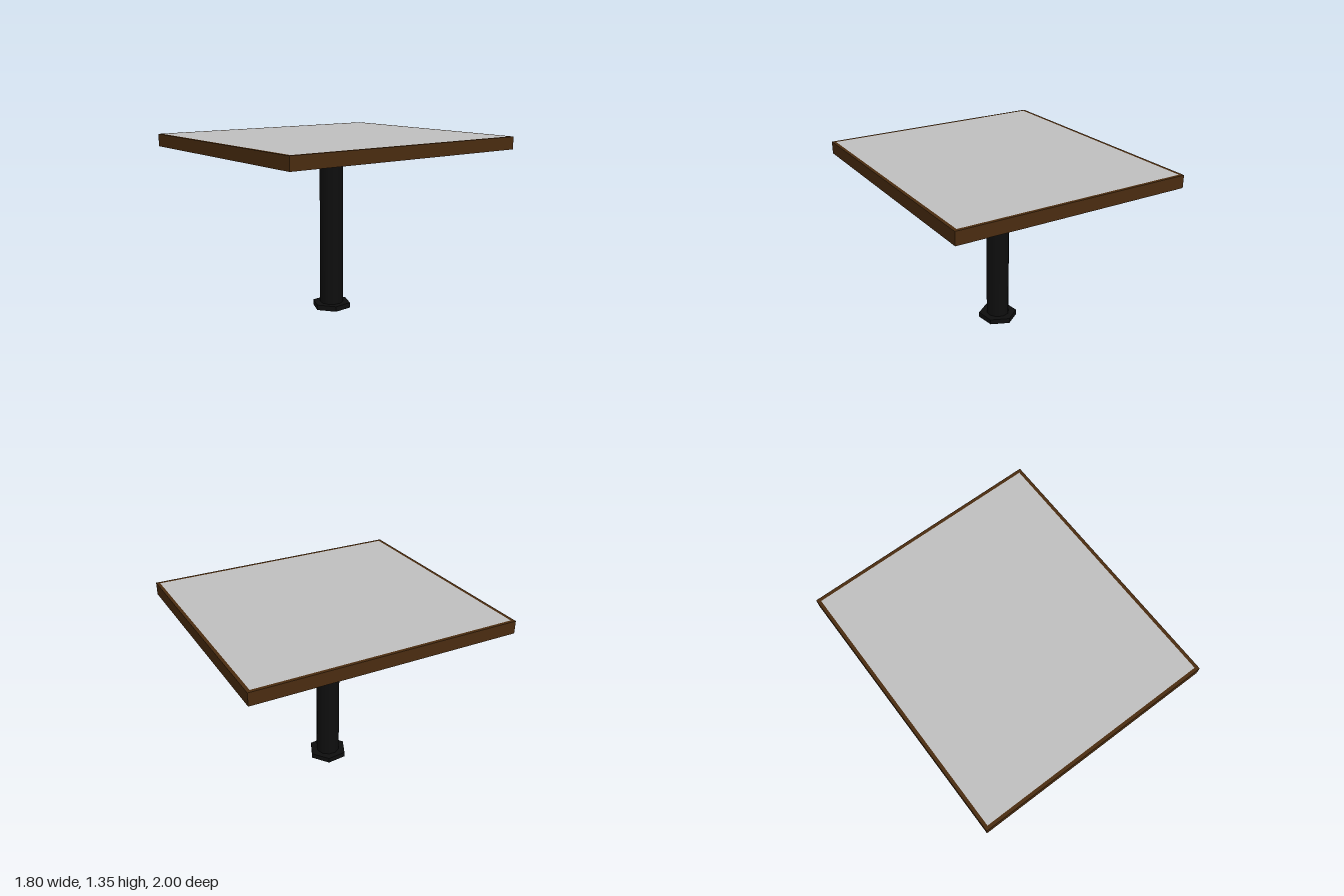
import * as THREE from 'three';

const WIDTH = 1.8, DEPTH = 2, RIM = 0.025;
const TOP = 1.35, UNDERSIDE = 1.255, FOOT = 0.04;

export function createModel() {
  const group = new THREE.Group();
  const wood = new THREE.MeshStandardMaterial({ color: 0x4a2c10 });
  wood.name = 'dark brown wood';
  const panelGrey = new THREE.MeshStandardMaterial({ color: 0xc0c0c0 });
  panelGrey.name = 'light grey';
  const metal = new THREE.MeshStandardMaterial({ color: 0x0e0e0e });
  metal.name = 'black metal';

  const add = (name, geometry, material, x, y, z) => {
    const mesh = new THREE.Mesh(geometry, material);
    mesh.name = name;
    mesh.position.set(x, y, z);
    group.add(mesh);
  };

  // Wooden frame: rectangle with a rectangular opening
  const w = WIDTH / 2, d = DEPTH / 2, iw = w - RIM, id = d - RIM;
  const outline = new THREE.Shape([
    new THREE.Vector2(-w, -d), new THREE.Vector2(w, -d),
    new THREE.Vector2(w, d), new THREE.Vector2(-w, d),
  ]);
  outline.holes.push(new THREE.Path([
    new THREE.Vector2(-iw, -id), new THREE.Vector2(-iw, id),
    new THREE.Vector2(iw, id), new THREE.Vector2(iw, -id),
  ]));
  const frame = new THREE.ExtrudeGeometry(outline, { depth: TOP - UNDERSIDE, bevelEnabled: false });
  frame.rotateX(-Math.PI / 2);
  add('tableFrame', frame, wood, 0, UNDERSIDE, 0);

  // Grey panel set flush in the frame
  add('tablePanel', new THREE.BoxGeometry(iw * 2, TOP - UNDERSIDE, id * 2), panelGrey,
    0, (TOP + UNDERSIDE) / 2, 0);

  // Post and hexagonal foot, a touch off centre
  const px = -0.009, pz = 0.004;
  const postHeight = UNDERSIDE - FOOT;
  add('post', new THREE.CylinderGeometry(0.09, 0.09, postHeight, 10), metal,
    px, FOOT + postHeight / 2, pz);

  const foot = new THREE.CylinderGeometry(0.151, 0.151, FOOT, 6, 1, false, 0.11).toNonIndexed();
  foot.computeVertexNormals();
  add('foot', foot, metal, px, FOOT / 2, pz);

  return group;
}
